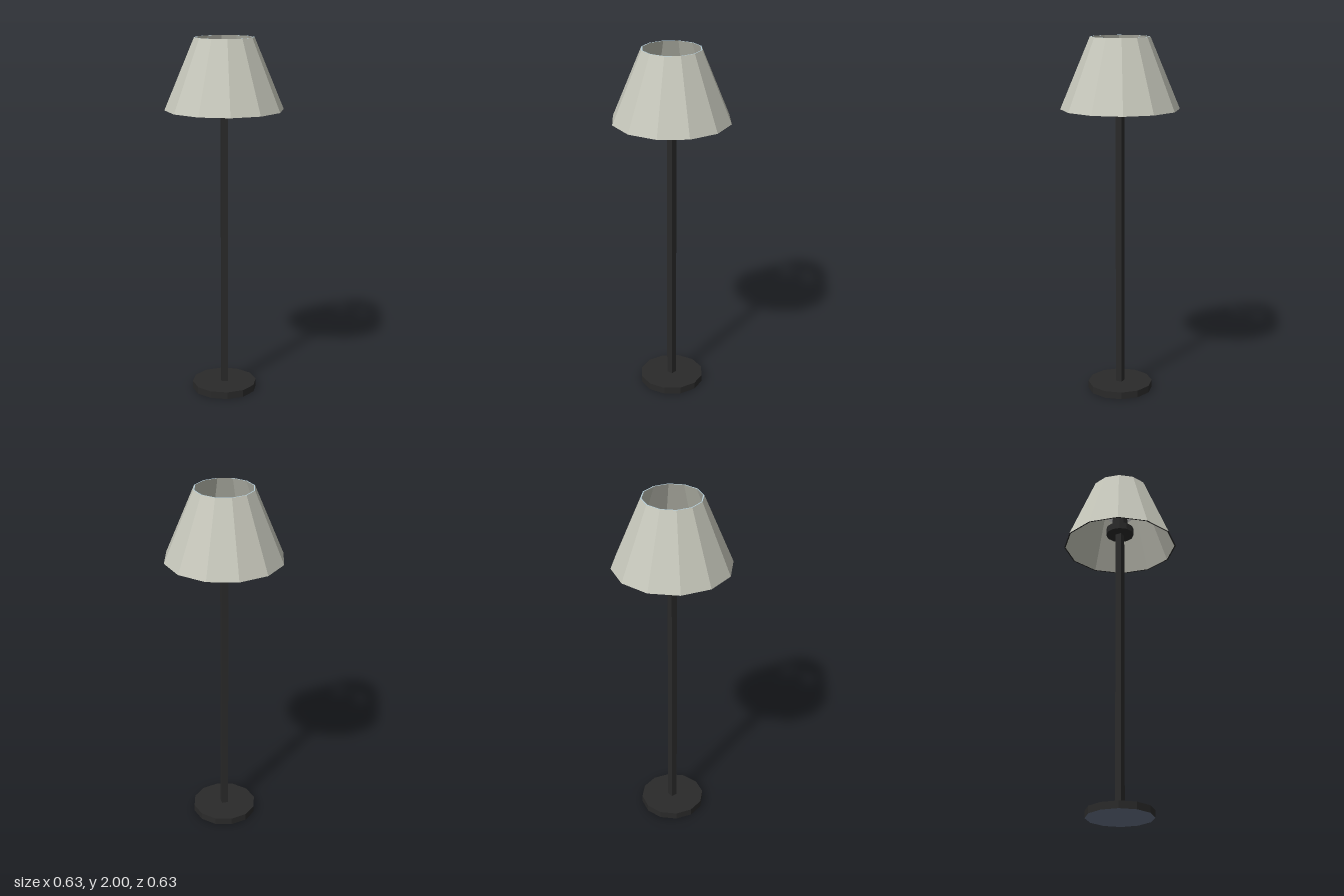
import * as THREE from 'three';

const SIDES = 12;
const TURN = Math.PI / SIDES; // flats face the axes

const flat = (name, color) => {
  const m = new THREE.MeshStandardMaterial({ color, flatShading: true });
  m.name = name;
  return m;
};

export function createModel() {
  const group = new THREE.Group();
  group.name = 'floorLamp';
  const dark = flat('darkMetal', 0x2a2a2a);
  const fabric = flat('shadeFabric', 0xc6c7bb);
  const bulbWhite = flat('bulbWhite', 0xf7f7f7);
  const paleBlue = flat('paleBlueTrim', 0xb4cdd8);
  const slate = flat('slateUnderside', 0x69758b);

  const add = (name, geometry, material) => {
    const mesh = new THREE.Mesh(geometry, material);
    mesh.name = name;
    group.add(mesh);
  };
  // Faceted upright cylinder between two heights
  const drum = (name, radius, y0, y1, material, sides = SIDES, turn = TURN) => {
    const g = new THREE.CylinderGeometry(radius, radius, y1 - y0, sides);
    g.rotateY(turn).translate(0, (y0 + y1) / 2, 0);
    add(name, g, material);
  };
  // Faceted turned surface; an upward profile faces outward
  const turned = (name, profile, material) => {
    const points = profile.map(([r, y]) => new THREE.Vector2(r, y));
    add(name, new THREE.LatheGeometry(points, SIDES, TURN), material);
  };

  // Base with a slate underside, square pole set cornerwise, and bulb holder
  drum('base', 0.183, 0, 0.04, [dark, dark, slate]);
  drum('pole', 0.026, 0.04, 1.69, dark, 4, 0);
  drum('bulbHolder', 0.08, 1.69, 1.73, dark);
  drum('bulbNeck', 0.045, 1.73, 1.795, dark);

  // Bulb
  turned('bulb', [[0.045, 1.79], [0.072, 1.808], [0.082, 1.838], [0.07, 1.874], [0.041, 1.9], [0, 1.91]], bulbWhite);

  // Thin open shade: outer wall, inner wall and both rims
  const outerLow = [0.325, 1.612], outerTop = [0.1625, 2];
  const innerLow = [0.317, 1.612], innerTop = [0.1565, 2];
  turned('shadeOuter', [outerLow, outerTop], fabric);
  turned('shadeInner', [innerTop, innerLow], fabric);
  turned('shadeTopRim', [outerTop, innerTop], paleBlue);
  turned('shadeBottomRim', [innerLow, outerLow], dark);

  return group;
}
